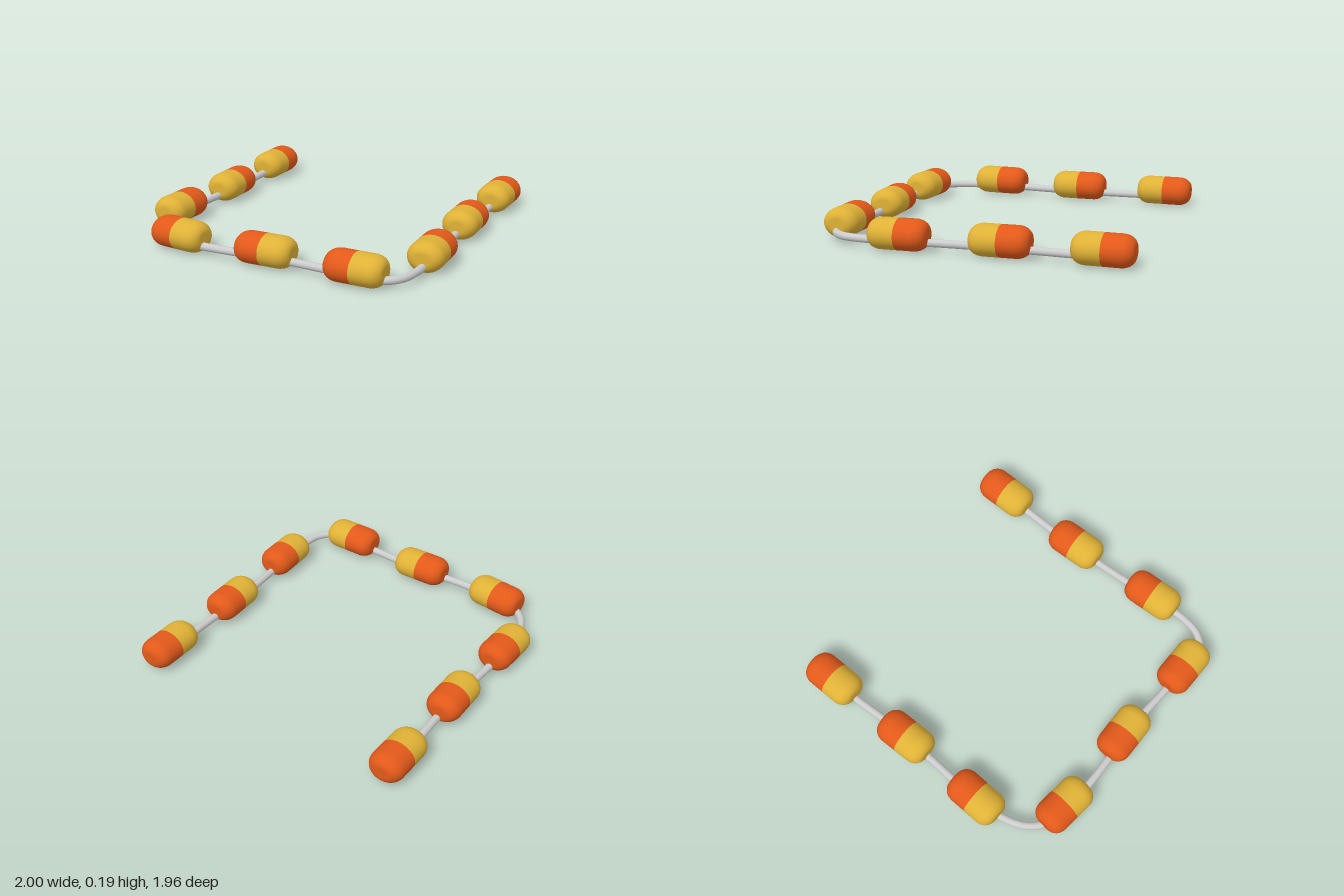
import * as THREE from 'three';

const HALF = 0.181, RADIUS = 0.113, HEIGHT = 0.19;

// Half of a float: straight barrel with a rounded shoulder; sign picks the end
function halfFloat(sign) {
  const axial = 0.08, radial = 0.07;
  const pts = [new THREE.Vector2(RADIUS, 0)];
  for (let i = 0; i <= 10; i++) {
    const t = (i / 10) * Math.PI / 2;
    pts.push(new THREE.Vector2(
      RADIUS - radial + radial * Math.cos(t),
      sign * (HALF - axial + axial * Math.sin(t))));
  }
  pts.push(new THREE.Vector2(0, sign * HALF));
  if (sign < 0) pts.reverse();
  const geo = new THREE.LatheGeometry(pts, 40);
  geo.rotateX(-Math.PI / 2); // lathe axis now points to -z
  geo.scale(1, HEIGHT / (2 * RADIUS), 1); // slightly flattened
  return geo;
}

export function createModel() {
  const model = new THREE.Group();
  model.name = 'floatLine';
  const ropeMat = new THREE.MeshStandardMaterial({ color: 0xcccccc });
  const orange = new THREE.MeshStandardMaterial({ color: 0xe2591a });
  const yellow = new THREE.MeshStandardMaterial({ color: 0xdfb136 });

  // Rope, as x and z along its run
  const path = [
    [-0.876, -0.8], [-0.877, -0.62], [-0.866, -0.38], [-0.868, -0.2], [-0.872, 0.02],
    [-0.882, 0.2], [-0.888, 0.4], [-0.872, 0.59], [-0.82, 0.735], [-0.74, 0.815],
    [-0.575, 0.855], [-0.4, 0.873], [-0.16, 0.868], [0.02, 0.855], [0.2, 0.857],
    [0.43, 0.868], [0.61, 0.872], [0.79, 0.868], [0.865, 0.79], [0.891, 0.67],
    [0.892, 0.58], [0.88, 0.4], [0.866, 0.23], [0.851, -0.02], [0.847, -0.2],
    [0.845, -0.38], [0.849, -0.62], [0.85, -0.8],
  ].map(([x, z]) => new THREE.Vector3(x, 0.055, z));
  const rope = new THREE.Mesh(
    new THREE.TubeGeometry(new THREE.CatmullRomCurve3(path), 240, 0.024, 14), ropeMat);
  rope.name = 'rope';
  model.add(rope);

  // Floats: x, z, then the direction of the orange end
  const front = halfFloat(1), back = halfFloat(-1);
  const floats = [
    [-0.875, -0.8, 0, -1], [-0.87, -0.195, -0.02, -1], [-0.885, 0.393, 0.03, -1],
    [-0.575, 0.84, -1, -0.1], [0.018, 0.843, -1, 0.025], [0.612, 0.866, -1, 0],
    [0.88, 0.415, -0.045, -1], [0.847, -0.2, -0.035, -1], [0.85, -0.805, 0, -1],
  ];
  floats.forEach(([x, z, dx, dz], i) => {
    const group = new THREE.Group();
    group.name = `float${i + 1}`;
    const a = new THREE.Mesh(front, orange);
    a.name = 'orangeHalf';
    const b = new THREE.Mesh(back, yellow);
    b.name = 'yellowHalf';
    group.add(a, b);
    group.position.set(x, HEIGHT / 2 + 0.003, z);
    group.rotation.y = Math.atan2(-dx, -dz);
    model.add(group);
  });
  return model;
}
